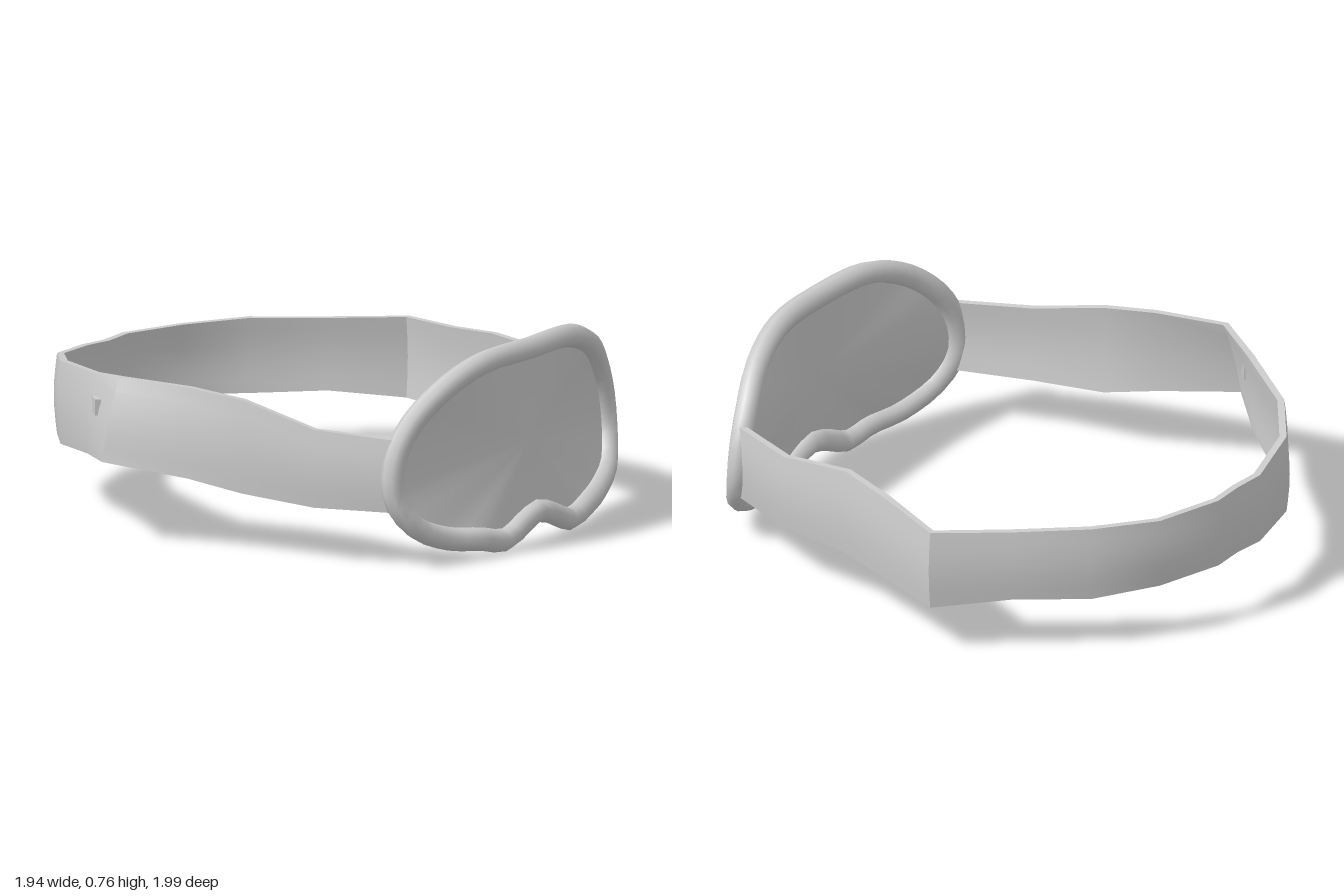
import * as THREE from 'three';
import { toCreasedNormals } from 'three/addons/utils/BufferGeometryUtils.js';

const grey = new THREE.MeshStandardMaterial({ color: 0xcccccc, side: THREE.DoubleSide });
grey.name = 'light grey';

function mesh(name, geometry) {
  const m = new THREE.Mesh(geometry, grey);
  m.name = name;
  return m;
}

function indexed(points, index) {
  const g = new THREE.BufferGeometry();
  g.setAttribute('position', new THREE.Float32BufferAttribute(points.flat(), 3));
  g.setIndex(index);
  return g;
}

// Centre line of the rim: brow, temple, cheek, nose; one side, then mirrored.
const rimHalf = [
  [0, 0.715, 0.91], [0.28, 0.705, 0.89], [0.46, 0.635, 0.85], [0.59, 0.52, 0.8],
  [0.655, 0.4, 0.78], [0.665, 0.27, 0.785], [0.6, 0.155, 0.83], [0.46, 0.09, 0.88],
  [0.33, 0.07, 0.925], [0.2, 0.045, 0.945], [0.1, 0.085, 0.95], [0, 0.115, 0.95],
];
const rimPoints = [
  ...rimHalf,
  ...rimHalf.slice(1, -1).reverse().map(([x, y, z]) => [-x, y, z]),
].map((p) => new THREE.Vector3(...p));
const rimCurve = new THREE.CatmullRomCurve3(rimPoints, true, 'centripetal');

// Lens: a shallow fan from the middle out to the rim's centre line.
function lensGeometry() {
  const n = 64;
  const points = [[0, 0.38, 0.915]];
  const index = [];
  for (let i = 0; i < n; i++) {
    points.push(rimCurve.getPointAt(i / n).toArray());
    index.push(0, 1 + ((i + 1) % n), 1 + i);
  }
  const g = indexed(points, index);
  g.computeVertexNormals();
  return g;
}

// Strap stations: x, z, bottom y, top y, inward lean of the top edge.
const stations = [
  [0.65, 0.78, 0.2, 0.48, 0], [0.77, 0.49, 0.205, 0.49, 0], [0.795, 0.2, 0.2, 0.52, 0.01],
  [0.855, -0.02, 0.185, 0.5, 0.01], [0.95, -0.3, 0.18, 0.48, 0], [0.77, -0.53, 0.21, 0.48, 0],
  [0.59, -0.75, 0.205, 0.485, 0], [0.38, -0.9, 0.22, 0.48, 0], [0.13, -0.975, 0.225, 0.485, 0],
  [0, -0.965, 0.225, 0.485, 0], [-0.12, -0.975, 0.225, 0.49, 0], [-0.38, -0.9, 0.22, 0.52, 0],
  [-0.57, -0.75, 0.24, 0.55, 0], [-0.77, -0.49, 0.28, 0.58, 0.02], [-0.95, -0.3, 0.31, 0.61, 0.09],
  [-0.845, 0, 0.27, 0.6, 0.035], [-0.785, 0.2, 0.23, 0.575, 0.01], [-0.745, 0.49, 0.21, 0.5, 0],
  [-0.645, 0.78, 0.21, 0.48, 0],
];

// Strap: a flat, slightly bulging band swept around the head.
function strapGeometry() {
  const rows = 6, ring = 2 * (rows + 1), thickness = 0.026;
  const points = [], index = [];
  stations.forEach(([x, z, low, high, lean], i) => {
    const a = stations[Math.max(i - 1, 0)];
    const b = stations[Math.min(i + 1, stations.length - 1)];
    const d = new THREE.Vector2(b[0] - a[0], b[1] - a[1]).normalize();
    const nx = -d.y, nz = d.x;
    for (let j = 0; j < ring; j++) {
      const outer = j <= rows;
      const t = (outer ? j : ring - 1 - j) / rows;
      const out = (outer ? 0.5 : -0.5) * thickness + 0.012 * Math.sin(Math.PI * t) - lean * t;
      points.push([x + nx * out, low + (high - low) * t, z + nz * out]);
      if (i < stations.length - 1) {
        const k = (j + 1) % ring;
        const p = i * ring + j, q = i * ring + k;
        index.push(p, p + ring, q, q, p + ring, q + ring);
      }
    }
  });
  return toCreasedNormals(indexed(points, index), 0.75);
}

export function createModel() {
  const group = new THREE.Group();
  group.name = 'goggles';
  group.add(mesh('rim', new THREE.TubeGeometry(rimCurve, 64, 0.043, 8, true)));
  group.add(mesh('lens', lensGeometry()));
  group.add(mesh('strap', strapGeometry()));

  // Small tab set into the strap behind the right-hand corner.
  const tab = mesh('strapTab', new THREE.BoxGeometry(0.06, 0.06, 0.04));
  tab.position.set(-0.83, 0.48, -0.41);
  tab.rotation.y = -Math.PI / 4 + Math.PI / 2;
  group.add(tab);
  return group;
}
